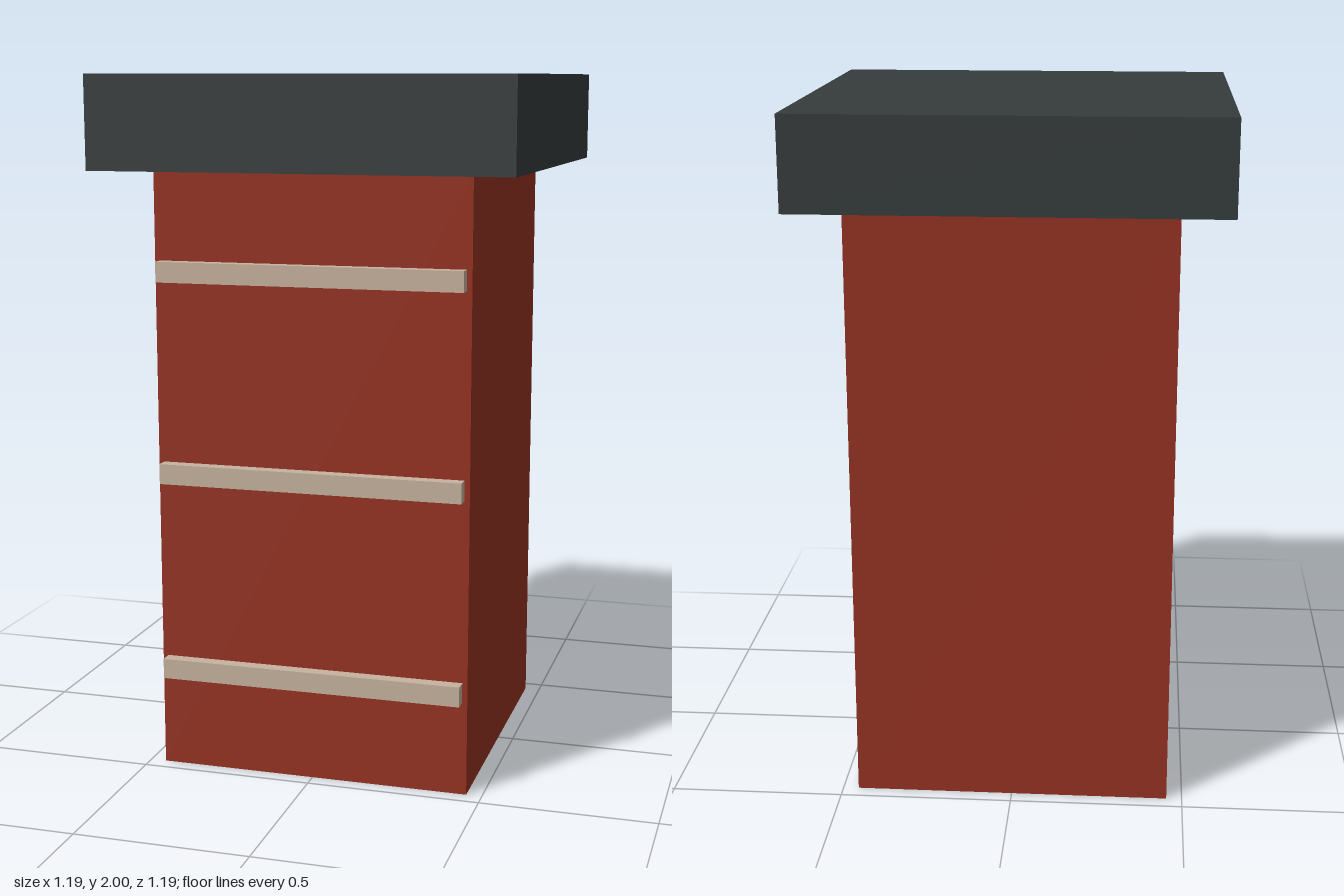
import * as THREE from 'three';

const material = (name, color) => {
  const m = new THREE.MeshStandardMaterial({ color });
  m.name = name;
  return m;
};

export function createModel() {
  const group = new THREE.Group();
  group.name = 'chimney';
  const brick = material('brick red', 0x963322);
  const slate = material('dark slate', 0x363c3c);
  const mortar = material('pale mortar', 0xc6b29e);

  const box = (name, mat, w, h, d, y, z = 0) => {
    const mesh = new THREE.Mesh(new THREE.BoxGeometry(w, h, d), mat);
    mesh.name = name;
    mesh.position.set(0, y, z);
    group.add(mesh);
  };

  // Square shaft and overhanging cap
  box('shaft', brick, 0.91, 1.74, 0.91, 0.87);
  box('cap', slate, 1.19, 0.26, 1.19, 1.87);

  // Three raised mortar courses on the front, partly sunk into the shaft
  [0.3, 0.88, 1.457].forEach((y, i) => {
    box(`mortarCourse${i + 1}`, mortar, 0.88, 0.058, 0.06, y, 0.463);
  });

  return group;
}
